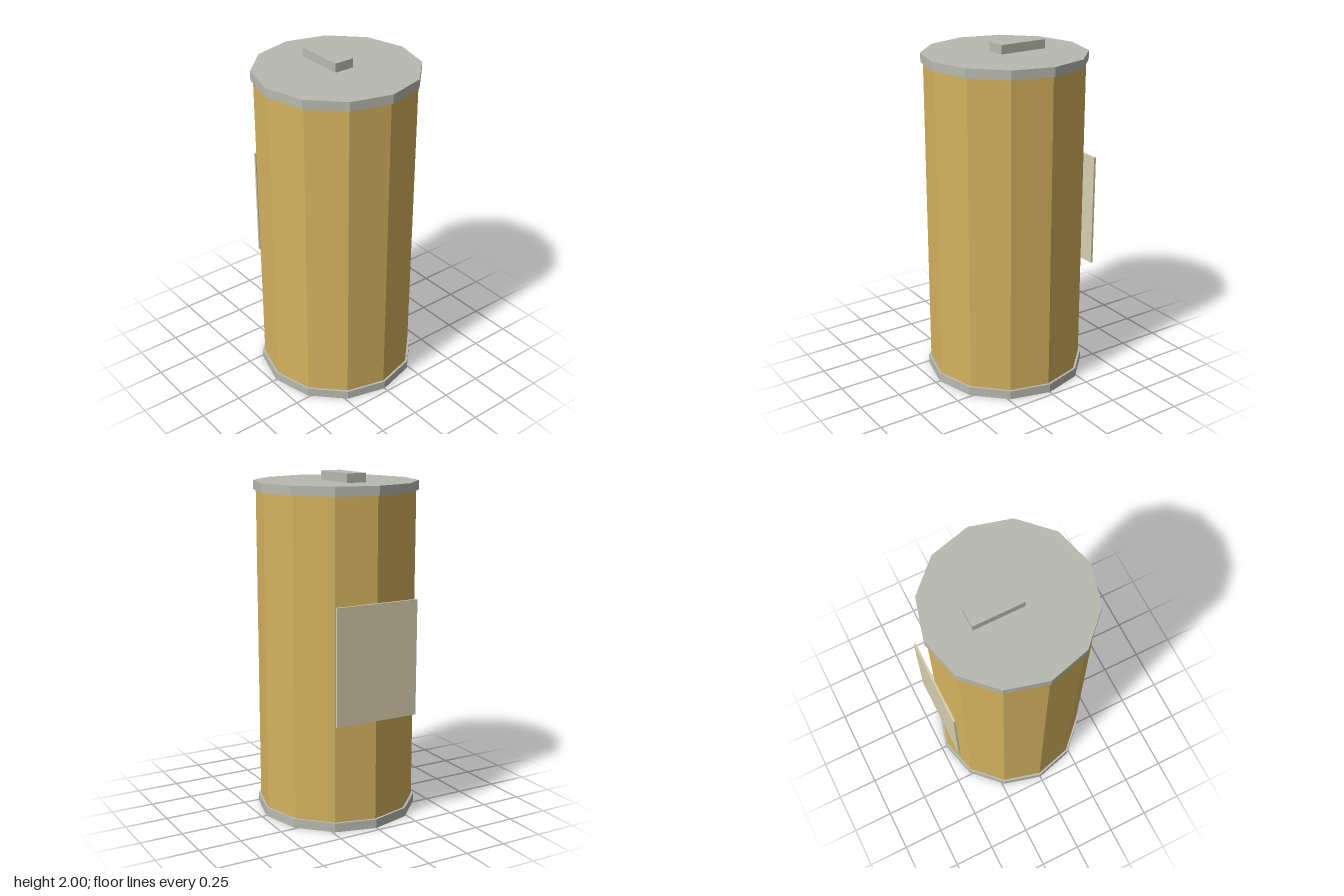
import * as THREE from 'three';

const SIDES = 12;

export function createModel() {
  const group = new THREE.Group();
  const paint = (color) => new THREE.MeshStandardMaterial({ color, flatShading: true });
  const brass = paint(0xd4b25f);
  const steel = paint(0xb8bab0);
  const paper = paint(0xd8cfb0);

  const add = (name, geometry, material, x, y, z) => {
    const mesh = new THREE.Mesh(geometry, material);
    mesh.name = name;
    mesh.position.set(x, y, z);
    group.add(mesh);
  };
  const drum = (radius, height) => new THREE.CylinderGeometry(radius, radius, height, SIDES);

  // Twelve-sided canister between two slightly wider end caps
  add('body', drum(0.458, 1.844), brass, 0, 0.974, 0);
  add('bottomCap', drum(0.472, 0.053), steel, 0, 0.0265, 0);
  add('topCap', drum(0.472, 0.053), steel, 0, 1.9215, 0);

  // Off-centre bar handle on the lid
  add('handle', new THREE.BoxGeometry(0.12, 0.052, 0.296), steel, 0, 1.974, -0.083);

  // Flat label plate on the back
  add('label', new THREE.BoxGeometry(0.514, 0.67, 0.013), paper, 0, 0.976, -0.4615);

  return group;
}
